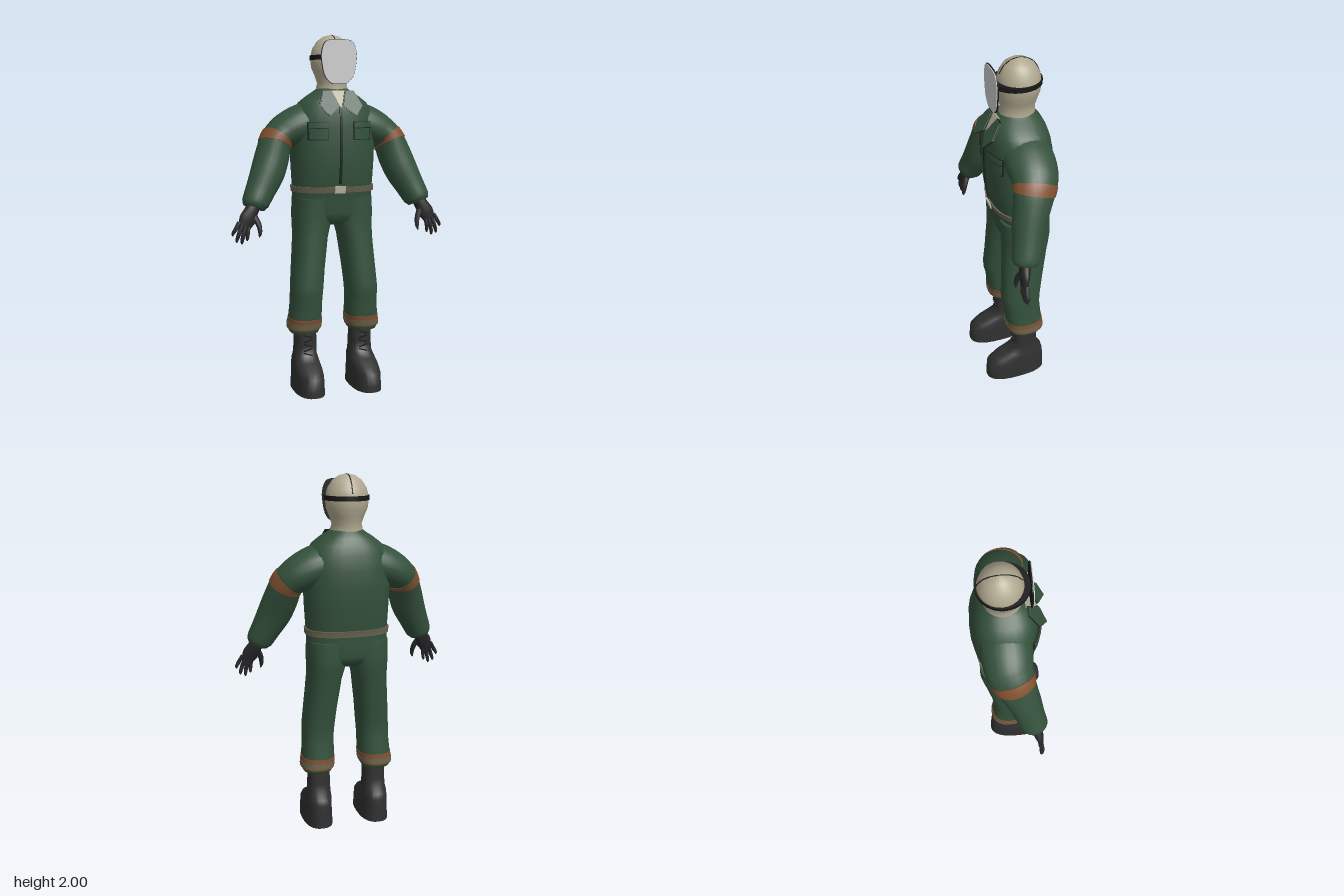
import * as THREE from 'three';

const mat = (name, color) => Object.assign(new THREE.MeshStandardMaterial({ color }), { name });
const green = mat('coverall green', 0x34513c);
const darkGreen = mat('dark trim', 0x18261d);
const orange = mat('orange band', 0x80502f);
const tan = mat('belt tan', 0x686350);
const beige = mat('hood beige', 0xb0a890);
const grey = mat('visor grey', 0xcccccc);
const metal = mat('buckle', 0xc4bda8);
const boot = mat('boot charcoal', 0x303030);
const glove = mat('glove black', 0x282828);
const black = mat('strap black', 0x181818);

// Closed skin over rings of equal length; capped, and turned outward by its signed volume
function skin(rings) {
  const n = rings[0].length, pos = [], idx = [];
  rings.forEach(r => r.forEach(p => pos.push(p.x, p.y, p.z)));
  for (let i = 0; i < rings.length - 1; i++) {
    for (let j = 0; j < n; j++) {
      const a = i * n + j, b = i * n + (j + 1) % n;
      idx.push(a, b, a + n, b, b + n, a + n);
    }
  }
  [rings[0], rings[rings.length - 1]].forEach((r, k) => {
    const base = pos.length / 3;
    r.forEach(p => pos.push(p.x, p.y, p.z));
    for (let j = 1; j < n - 1; j++) {
      if (k) idx.push(base, base + j, base + j + 1);
      else idx.push(base, base + j + 1, base + j);
    }
  });
  const v = i => new THREE.Vector3().fromArray(pos, i * 3);
  let volume = 0;
  for (let i = 0; i < idx.length; i += 3) volume += v(idx[i]).dot(v(idx[i + 1]).cross(v(idx[i + 2])));
  if (volume < 0) idx.reverse();
  const g = new THREE.BufferGeometry();
  g.setAttribute('position', new THREE.Float32BufferAttribute(pos, 3));
  g.setIndex(idx);
  g.computeVertexNormals();
  return g;
}

const sp = (v, n) => Math.sign(v) * Math.abs(v) ** (2 / n);
const angles = n => Array.from({ length: n }, (_, i) => (i / n) * Math.PI * 2);

// Level cross-sections; row = [y, centre x, half width, front z, back z]
function stack(rows, s = 1, n = 2.4, seg = 28) {
  return skin(rows.map(([y, cx, rx, zf, zb]) => angles(seg).map(a => new THREE.Vector3(
    s * (cx + rx * sp(Math.cos(a), n)), y, (zf + zb) / 2 + (zf - zb) / 2 * sp(Math.sin(a), n)))));
}

// Row of a stack at any height, grown outward by g
function rowAt(rows, y, g = 0) {
  let i = 0;
  while (i < rows.length - 2 && rows[i + 1][0] > y) i++;
  const t = (rows[i][0] - y) / (rows[i][0] - rows[i + 1][0]);
  const r = rows[i].map((v, k) => v + (rows[i + 1][k] - v) * t);
  return [y, r[1], r[2] + g, r[3] + g, r[4] - g];
}
const band = (rows, top, bottom, g, s) =>
  stack([0, 0.33, 0.67, 1].map(t => rowAt(rows, top + (bottom - top) * t, g)), s);

// Tapered tube along points [x, y, z, radius across, radius in depth]
function limb(pts, s = 1, t0 = 0, t1 = 1, grow = 0, steps = 16, seg = 20) {
  const path = new THREE.CatmullRomCurve3(pts.map(p => new THREE.Vector3(p[0] * s, p[1], p[2])));
  const size = new THREE.CatmullRomCurve3(pts.map(p => new THREE.Vector3(p[3], p[4], 0)));
  return skin(Array.from({ length: steps + 1 }, (_, i) => {
    const t = t0 + (t1 - t0) * i / steps, c = path.getPoint(t), r = size.getPoint(t);
    const T = path.getTangent(t);
    const side = T.clone().cross(new THREE.Vector3(0, 0, 1)).normalize();
    const depth = side.clone().cross(T);
    return angles(seg).map(a => c.clone()
      .addScaledVector(side, (r.x + grow) * Math.cos(a))
      .addScaledVector(depth, (r.y + grow) * Math.sin(a)));
  }));
}

const TORSO = [
  [1.705, 0, 0.085, 0.055, -0.125], [1.69, 0, 0.105, 0.075, -0.14], [1.665, 0, 0.145, 0.1, -0.16],
  [1.63, 0, 0.19, 0.122, -0.178], [1.58, 0, 0.222, 0.135, -0.195], [1.5, 0, 0.237, 0.142, -0.21],
  [1.4, 0, 0.24, 0.143, -0.213], [1.3, 0, 0.236, 0.14, -0.205], [1.2, 0, 0.231, 0.126, -0.192],
  [1.15, 0, 0.228, 0.114, -0.183], [1.1, 0, 0.228, 0.103, -0.181], [1.02, 0, 0.225, 0.095, -0.18],
  [0.98, 0, 0.19, 0.085, -0.165], [0.95, 0, 0.1, 0.05, -0.11]];
const LEG = [
  [1.1, 0.115, 0.112, 0.1, -0.178], [1, 0.12, 0.11, 0.095, -0.18], [0.94, 0.124, 0.104, 0.094, -0.172],
  [0.88, 0.132, 0.096, 0.096, -0.16], [0.8, 0.14, 0.094, 0.1, -0.147], [0.7, 0.151, 0.092, 0.104, -0.13],
  [0.6, 0.16, 0.091, 0.112, -0.116], [0.55, 0.163, 0.09, 0.108, -0.112], [0.5, 0.164, 0.089, 0.096, -0.114],
  [0.41, 0.168, 0.093, 0.09, -0.124], [0.35, 0.174, 0.092, 0.08, -0.129], [0.328, 0.174, 0.08, 0.068, -0.115]];
const HEAD = [
  [2, 0, 0.008, -0.037, -0.053], [1.992, 0, 0.043, -0.002, -0.088], [1.968, 0, 0.079, 0.034, -0.124],
  [1.925, 0, 0.107, 0.061, -0.151], [1.87, 0, 0.119, 0.073, -0.164], [1.82, 0, 0.113, 0.07, -0.156],
  [1.775, 0, 0.094, 0.063, -0.142], [1.735, 0, 0.081, 0.055, -0.13], [1.71, 0, 0.088, 0.06, -0.133],
  [1.67, 0, 0.09, 0.06, -0.13]];
const BOOT = [
  [0.36, 0.165, 0.062, 0.042, -0.095], [0.25, 0.165, 0.064, 0.044, -0.097], [0.195, 0.166, 0.067, 0.046, -0.105],
  [0.165, 0.167, 0.073, 0.1, -0.13], [0.135, 0.168, 0.077, 0.165, -0.138], [0.1, 0.168, 0.08, 0.207, -0.14],
  [0.03, 0.168, 0.083, 0.213, -0.143], [0, 0.168, 0.085, 0.214, -0.145]];
const ARM = [
  [0.1, 1.53, -0.035, 0.12, 0.135], [0.2, 1.5, -0.035, 0.112, 0.135], [0.275, 1.465, -0.03, 0.1, 0.127],
  [0.325, 1.425, -0.015, 0.088, 0.115], [0.36, 1.33, 0.015, 0.095, 0.1], [0.39, 1.25, 0.04, 0.094, 0.09],
  [0.435, 1.16, 0.065, 0.082, 0.08], [0.47, 1.09, 0.085, 0.073, 0.075], [0.478, 1.068, 0.09, 0.06, 0.062]];

// Thin panel laid over the chest
function chestPanel(x, y, w, h, lift, d = 0.008) {
  const g = new THREE.BoxGeometry(w, h, d, 5, Math.max(3, Math.round(h / 0.03)), 1);
  g.translate(x, y, 0);
  const p = g.attributes.position;
  for (let i = 0; i < p.count; i++) {
    const [, , rx, zf, zb] = rowAt(TORSO, p.getY(i));
    const k = (1 - Math.min(1, Math.abs(p.getX(i)) / rx) ** 2.4) ** (1 / 2.4);
    p.setZ(i, p.getZ(i) + lift + (zf + zb) / 2 + (zf - zb) / 2 * k);
  }
  g.computeVertexNormals();
  return g;
}

const outline = pts => new THREE.Shape(pts.map(p => new THREE.Vector2(...p)));
const plate = (shape, depth) => new THREE.ExtrudeGeometry(shape, { depth, bevelEnabled: false });

// Flat piece leaning forward from the neck
function collarPiece(pts, lift) {
  const g = plate(outline(pts), 0.006), p = g.attributes.position;
  for (let i = 0; i < p.count; i++) p.setZ(i, p.getZ(i) + 0.085 + lift + (1.69 - p.getY(i)) * 0.68);
  g.computeVertexNormals();
  return g;
}

export function createModel() {
  const model = new THREE.Group();
  const add = (name, geometry, material) => {
    const m = new THREE.Mesh(geometry, material);
    m.name = name;
    model.add(m);
    return m;
  };

  // Body, belt and front closure
  add('torso', stack(TORSO), green);
  add('belt', band(TORSO, 1.168, 1.135, 0.009), tan);
  add('buckle', chestPanel(0, 1.153, 0.06, 0.042, 0.014), metal);
  add('zip', chestPanel(0, 1.4, 0.014, 0.43, 0.005), darkGreen);
  add('neckInset', collarPiece([[-0.045, 1.695], [0.045, 1.695], [0, 1.6]], -0.008), beige);

  // Hooded head with straps and visor
  add('hood', stack(HEAD, 1, 2), beige);
  add('headStrap', stack([[1.888, 0, 0.123, 0.1, -0.168], [1.862, 0, 0.123, 0.1, -0.168]], 1, 2, 36), black);
  const crown = [[1.9, -0.16], [1.925, -0.151], [1.968, -0.124], [1.992, -0.088], [2, -0.045], [1.992, -0.002], [1.968, 0.034], [1.925, 0.061]];
  add('crownSeam', new THREE.TubeGeometry(
    new THREE.CatmullRomCurve3(crown.map(([y, z]) => new THREE.Vector3(0, y - 0.001, z))), 30, 0.003, 5), black);
  const half = [[0.045, 0.116], [0.08, 0.1], [0.098, 0.045], [0.095, -0.01], [0.08, -0.075], [0.045, -0.113]];
  const visor = new THREE.Shape(new THREE.SplineCurve([[0, 0.118], ...half, [0, -0.118],
    ...half.map(([x, y]) => [-x, y]).reverse(), [0, 0.118]].map(p => new THREE.Vector2(...p))).getPoints(60));
  add('visor', plate(visor, 0.004), grey).position.set(0, 1.85, 0.104);
  const rim = add('visorBacking', plate(visor, 0.006), black);
  rim.position.set(0, 1.85, 0.097);
  rim.scale.set(1.03, 1.02, 1);

  for (const s of [1, -1]) {
    const name = part => (s > 0 ? 'left' : 'right') + part;

    // Collar lapel with dark edge
    const lapel = [[0.04, 1.692], [0.088, 1.69], [0.118, 1.615], [0.075, 1.562], [0.012, 1.612]];
    const grown = lapel.map(([x, y]) => [0.066 + (x - 0.066) * 1.09, 1.635 + (y - 1.635) * 1.06]);
    const mirrored = pts => pts.map(([x, y]) => [x * s, y]);
    add(name('Lapel'), collarPiece(mirrored(lapel), 0.004), green);
    add(name('LapelEdge'), collarPiece(mirrored(grown), -0.002), darkGreen);

    // Chest pocket
    add(name('PocketEdge'), chestPanel(s * 0.124, 1.475, 0.108, 0.096, 0.005), darkGreen);
    add(name('Pocket'), chestPanel(s * 0.124, 1.468, 0.098, 0.074, 0.009), green);
    add(name('PocketFlapEdge'), chestPanel(s * 0.124, 1.508, 0.115, 0.036, 0.011), darkGreen);
    add(name('PocketFlap'), chestPanel(s * 0.124, 1.509, 0.107, 0.028, 0.014), green);

    // Sleeve
    add(name('Sleeve'), limb(ARM, s, 0, 1, 0, 32, 24), green);
    add(name('ArmBand'), limb(ARM, s, 0.36, 0.415, 0.004, 4, 24), orange);

    // Gloved hand: palm, fingers, thumb
    add(name('Palm'), limb([[0.474, 1.09, 0.088, 0.036, 0.034], [0.495, 1.05, 0.1, 0.04, 0.03],
      [0.517, 1.01, 0.11, 0.046, 0.024], [0.536, 0.973, 0.118, 0.036, 0.015]], s), glove);
    const fingers = [[0.565, 0.995, 0.6, 0.922], [0.55, 0.982, 0.579, 0.885], [0.532, 0.975, 0.551, 0.875], [0.512, 0.978, 0.522, 0.892]];
    for (const [x, y, tx, ty] of fingers) {
      add(name('Finger'), limb([[x, y, 0.115, 0.011, 0.014], [(x + tx) / 2 + 0.003, (y + ty) / 2, 0.122, 0.0115, 0.013],
        [tx, ty + 0.012, 0.118, 0.009, 0.01], [tx, ty, 0.116, 0.003, 0.003]], s, 0, 1, 0, 8, 8), glove);
    }
    add(name('Thumb'), limb([[0.485, 1.03, 0.105, 0.018, 0.018], [0.46, 0.98, 0.125, 0.015, 0.016],
      [0.455, 0.935, 0.136, 0.011, 0.012], [0.46, 0.912, 0.138, 0.003, 0.003]], s, 0, 1, 0, 8, 8), glove);

    // Trouser leg with banded hem
    add(name('Leg'), stack(LEG, s), green);
    add(name('HemBand'), band(LEG, 0.413, 0.352, 0.003, s), orange);
    add(name('HemStripe'), band(LEG, 0.388, 0.363, 0.005, s), tan);

    // Boot with laces
    add(name('Boot'), stack(BOOT, s, 2.5), boot);
    for (let i = 0; i < 5; i++) {
      const lace = add(name('Lace'), new THREE.BoxGeometry(0.05, 0.006, 0.008), black);
      lace.position.set(s * 0.165, 0.205 + i * 0.026, 0.046);
      lace.rotation.z = i % 2 ? 0.3 : -0.3;
    }
  }
  return model;
}
